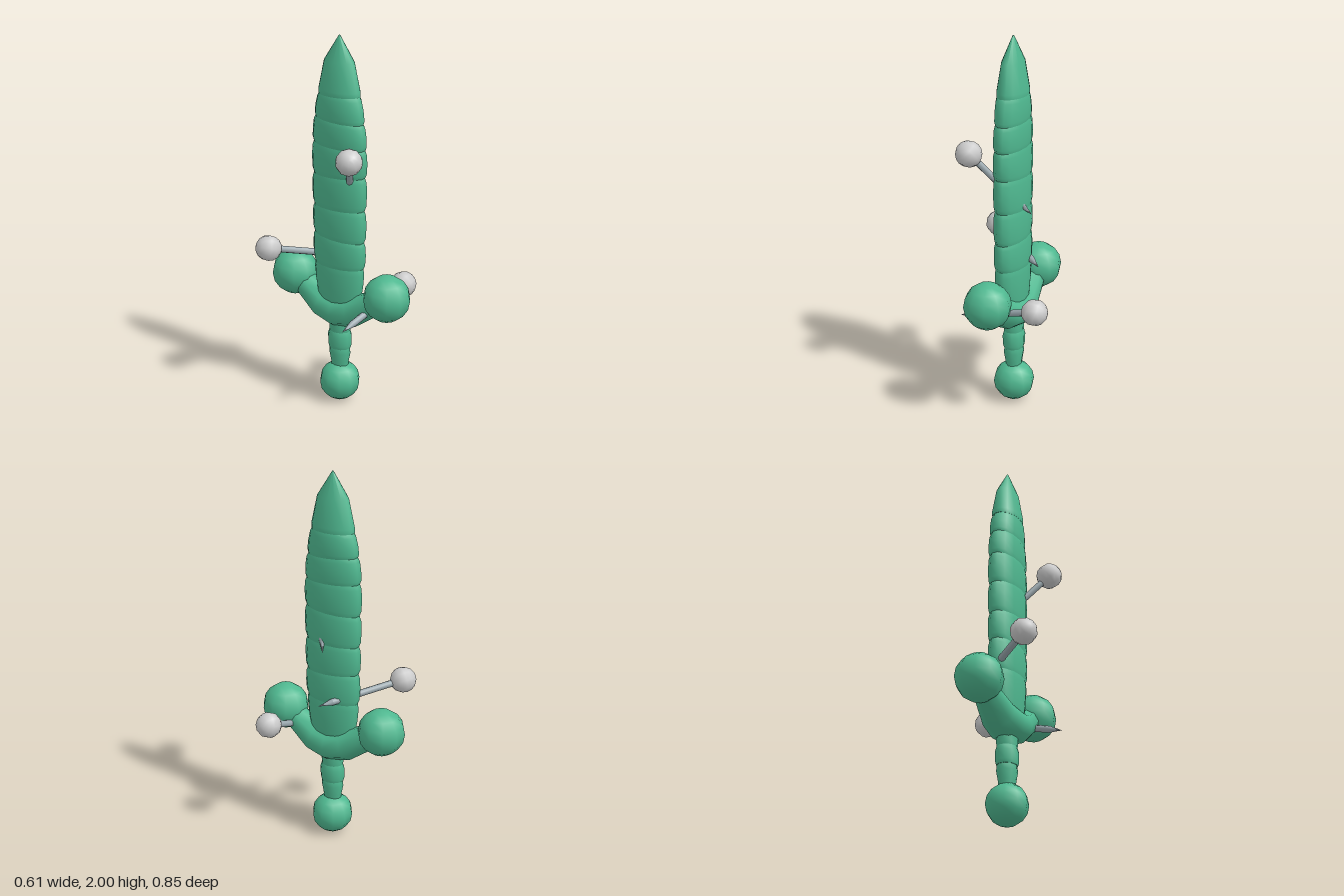
import * as THREE from 'three';

const paint = (color) => new THREE.MeshStandardMaterial({ color });

// Skin a list of equal-length point rings, with flat end caps
function loft(rings) {
  const n = rings[0].length, pos = [], idx = [];
  const push = (p) => { pos.push(p.x, p.y, p.z); return pos.length / 3 - 1; };
  rings.forEach((r) => r.forEach(push));
  for (let k = 0; k < rings.length - 1; k++) {
    for (let i = 0; i < n; i++) {
      const a = k * n + i, b = k * n + (i + 1) % n;
      idx.push(a, a + n, b + n, a, b + n, b);
    }
  }
  [rings[0], rings[rings.length - 1]].forEach((r, end) => {
    const centre = r.reduce((s, p) => s.add(p), new THREE.Vector3()).divideScalar(n);
    const c = push(centre), ids = r.map(push);
    ids.forEach((v, i) => {
      const w = ids[(i + 1) % n];
      end ? idx.push(c, w, v) : idx.push(c, v, w);
    });
  });
  const g = new THREE.BufferGeometry();
  g.setAttribute('position', new THREE.Float32BufferAttribute(pos, 3));
  g.setIndex(idx);
  g.computeVertexNormals();
  return g;
}

// Horizontal oval ring whose height leans along z
function oval(n, y, rx, rz, lean = 0, cx = 0) {
  return Array.from({ length: n }, (_, i) => {
    const a = (i / n) * Math.PI * 2, z = Math.sin(a) * rz;
    return new THREE.Vector3(cx + Math.cos(a) * rx, y + lean * z, z);
  });
}

export function createModel() {
  const model = new THREE.Group();
  const green = paint(0x4fb890), grey = paint(0xcccccc), steel = paint(0x9aa8ae);
  const add = (name, geometry, material, parent = model) => {
    const mesh = new THREE.Mesh(geometry, material);
    mesh.name = name;
    parent.add(mesh);
    return mesh;
  };
  const ball = (name, r, x, y, z, material, parent) =>
    add(name, new THREE.SphereGeometry(r, 10, 8), material, parent).position.set(x, y, z);

  // Blade: stacked padded segments, [seam height, half width x, half width z, lean]
  const blade = new THREE.Group();
  blade.name = 'blade';
  model.add(blade);
  const seams = [
    [0.58, 0.07, 0.128, 0], [0.785, 0.077, 0.157, 0.02], [0.942, 0.077, 0.16, -0.05],
    [1.105, 0.077, 0.162, 0.02], [1.278, 0.077, 0.164, 0.05], [1.435, 0.077, 0.164, -0.03],
    [1.57, 0.077, 0.151, -0.05], [1.7, 0.075, 0.126, 0.01],
  ];
  for (let i = 0; i < seams.length - 1; i++) {
    const [p, q] = [seams[i], seams[i + 1]];
    const rings = [[0, 0.95], [0.15, 1.01], [0.5, 1.03], [0.85, 1.01], [1, 0.95]].map(([t, puff]) => {
      const [y, rx, rz, lean] = p.map((v, k) => v + (q[k] - v) * t);
      return oval(14, y, rx * puff, rz * puff, lean, -0.004);
    });
    add('bladeSegment', loft(rings), green, blade);
  }
  add('bladeTip', loft([
    oval(14, 1.7, 0.072, 0.122, 0.01, -0.004), oval(14, 1.725, 0.074, 0.123, 0, -0.004),
    oval(14, 1.87, 0.052, 0.09, 0, -0.004), oval(14, 2, 0.004, 0.004, 0, -0.003),
  ]), green, blade);

  // Crossguard: upward-curving arms, [z, centre y, half width x, half height, slope angle]
  const arm = [[0.1, 0.545, 0.094, 0.085, 0.33], [0.2, 0.603, 0.073, 0.07, 0.55], [0.3, 0.67, 0.06, 0.06, 0.6]];
  const sections = [
    ...arm.map(([z, y, rx, ry, t]) => [-z, y, rx, ry, -t]).reverse(),
    [0, 0.527, 0.105, 0.092, 0],
    ...arm,
  ];
  add('crossguard', loft(sections.map(([z, y, rx, ry, t]) =>
    Array.from({ length: 10 }, (_, i) => {
      const a = (i / 10) * Math.PI * 2, v = Math.sin(a) * ry;
      return new THREE.Vector3(Math.cos(a) * rx, y - v * Math.cos(t), z + v * Math.sin(t));
    }))), green);
  for (const s of [-1, 1]) ball('guardBall', 0.125, 0, 0.67, s * 0.305, green);

  // Grip: three padded segments between pommel and guard
  const grip = new THREE.Group();
  grip.name = 'grip';
  model.add(grip);
  const gripParts = [
    [[0.18, 0.046], [0.23, 0.052], [0.28, 0.062], [0.31, 0.058]],
    [[0.31, 0.062], [0.33, 0.068], [0.38, 0.069], [0.408, 0.06]],
    [[0.408, 0.06], [0.425, 0.062], [0.47, 0.064]],
  ];
  for (const rows of gripParts) {
    add('gripSegment', loft(rows.map(([y, r]) => oval(10, y, r * 0.85, r))), green, grip);
  }
  ball('pommel', 0.11, 0, 0.11, 0, green);

  // Ball-headed pins stuck through the padding: head, point
  const pins = [
    [[-0.162, 1.42, 0.183], [0.1, 1.075, -0.005]],
    [[-0.234, 0.877, -0.288], [0.14, 0.79, -0.005]],
    [[0.235, 0.655, 0.244], [-0.22, 0.525, 0.185]],
  ];
  for (const [head, point] of pins) {
    const from = new THREE.Vector3(...head), dir = new THREE.Vector3(...point).sub(from);
    const length = dir.length(), pin = new THREE.Group();
    pin.name = 'pin';
    pin.position.copy(from);
    pin.quaternion.setFromUnitVectors(new THREE.Vector3(0, 1, 0), dir.normalize());
    model.add(pin);
    ball('pinHead', 0.069, 0, 0, 0, grey, pin);
    add('pinShaft', new THREE.CylinderGeometry(0.018, 0.018, length - 0.08, 8), steel, pin)
      .position.y = (length - 0.08) / 2;
    add('pinPoint', new THREE.ConeGeometry(0.018, 0.08, 8), steel, pin).position.y = length - 0.04;
  }
  return model;
}
